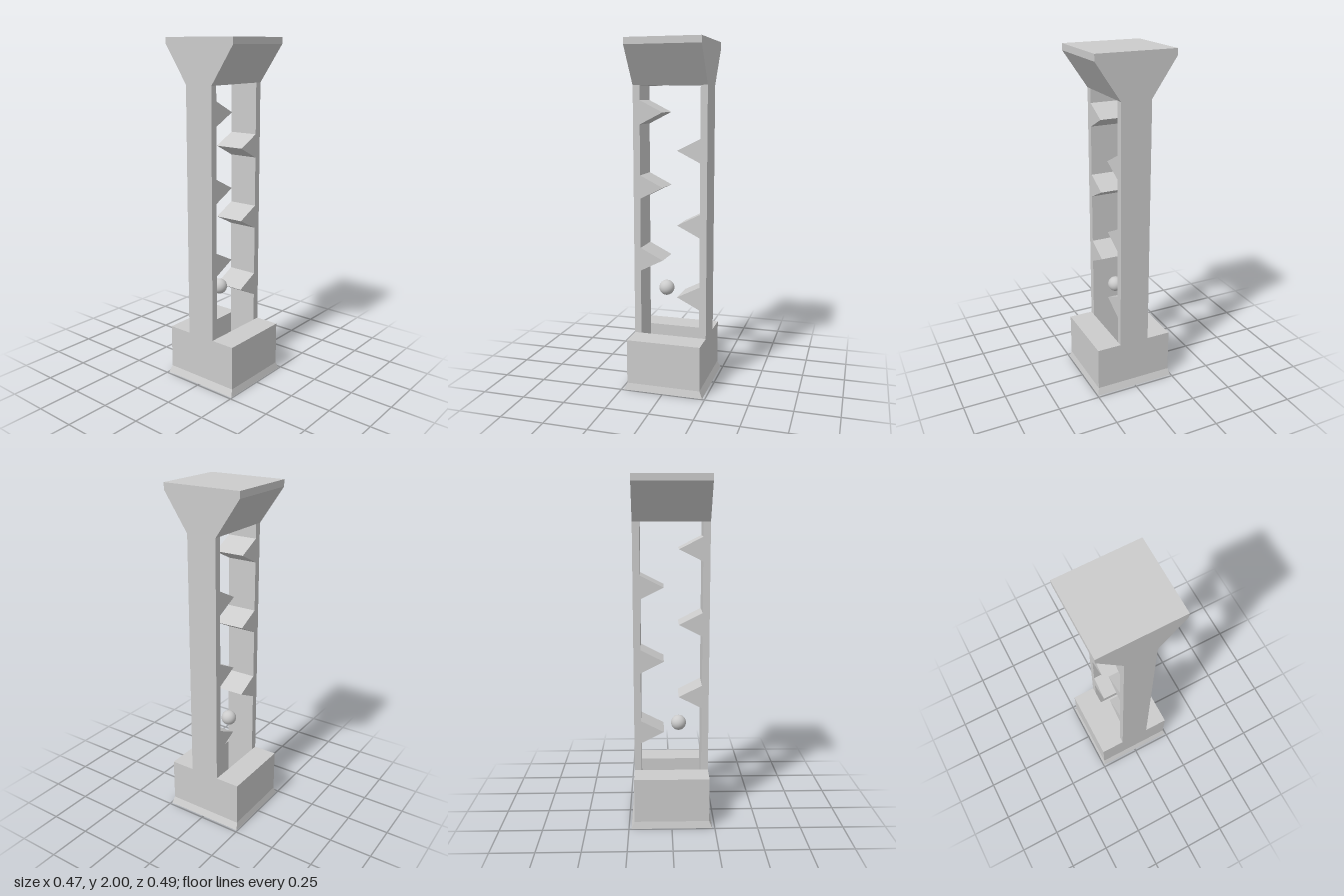
import * as THREE from 'three';

const material = new THREE.MeshStandardMaterial({ color: 0xcccccc, flatShading: true });
const smooth = new THREE.MeshStandardMaterial({ color: 0xcccccc });

const OUTER = 0.217, INNER = 0.177, DEEP = 0.235, SLIM = 0.09;
const BASE_TOP = 0.3, CAP_BOTTOM = 1.75;

// Joins rectangular rings [halfX, halfZ, y, centreX] in order and closes both ends.
function loftRectangles(rings) {
  const corners = rings.map(([hx, hz, y, cx = 0]) =>
    [[1, 1], [1, -1], [-1, -1], [-1, 1]].map(([sx, sz]) => [cx + sx * hx, y, sz * hz]));
  const positions = [];
  const tri = (a, b, c) => positions.push(...a, ...b, ...c);
  for (let r = 0; r < corners.length - 1; r++) {
    const a = corners[r], b = corners[r + 1];
    for (let i = 0; i < 4; i++) {
      const j = (i + 1) % 4;
      tri(a[i], a[j], b[j]);
      tri(a[i], b[j], b[i]);
    }
  }
  const first = corners[0], last = corners[corners.length - 1];
  tri(first[0], first[2], first[1]);
  tri(first[0], first[3], first[2]);
  tri(last[0], last[1], last[2]);
  tri(last[0], last[2], last[3]);
  const geometry = new THREE.BufferGeometry();
  geometry.setAttribute('position', new THREE.Float32BufferAttribute(positions, 3));
  geometry.computeVertexNormals();
  return geometry;
}

// Side post with triangular teeth on its inner face; side is +1 or -1.
function toothedPost(side, toothHeights) {
  const points = [[OUTER, CAP_BOTTOM], [OUTER, BASE_TOP], [INNER, BASE_TOP]];
  for (const y of toothHeights) {
    points.push([INNER, y - 0.068], [0.043, y], [INNER, y + 0.068]);
  }
  points.push([INNER, CAP_BOTTOM]);
  const shape = new THREE.Shape(points.map(([x, y]) => new THREE.Vector2(side * x, y)));
  return new THREE.ExtrudeGeometry(shape, { depth: 2 * SLIM, bevelEnabled: false })
    .translate(0, 0, -SLIM);
}

export function createModel() {
  const model = new THREE.Group();
  const add = (name, geometry, mat = material) => {
    const mesh = new THREE.Mesh(geometry, mat);
    mesh.name = name;
    model.add(mesh);
    return mesh;
  };

  // Base tray with flared foot and a recess between the posts
  add('base', loftRectangles([
    [0.235, 0.245, 0],
    [OUTER, DEEP, 0.04],
    [OUTER, DEEP, BASE_TOP],
    [INNER, SLIM, BASE_TOP],
    [INNER, SLIM, 0.04],
  ]));

  // Posts with staggered teeth
  add('rightPost', toothedPost(-1, [0.75, 1.175, 1.6]));
  add('leftPost', toothedPost(1, [0.537, 0.962, 1.388]));

  // Flared cap with a square drop hole in its underside
  add('cap', loftRectangles([
    [0.045, 0.045, 1.95, -0.067],
    [0.045, 0.045, CAP_BOTTOM, -0.067],
    [OUTER, SLIM, CAP_BOTTOM],
    [OUTER, DEEP, 1.962],
    [OUTER, DEEP, 2],
  ]));

  // Falling ball
  add('ball', new THREE.SphereGeometry(0.045, 32, 20), smooth).position.set(-0.045, 0.566, 0);

  return model;
}
